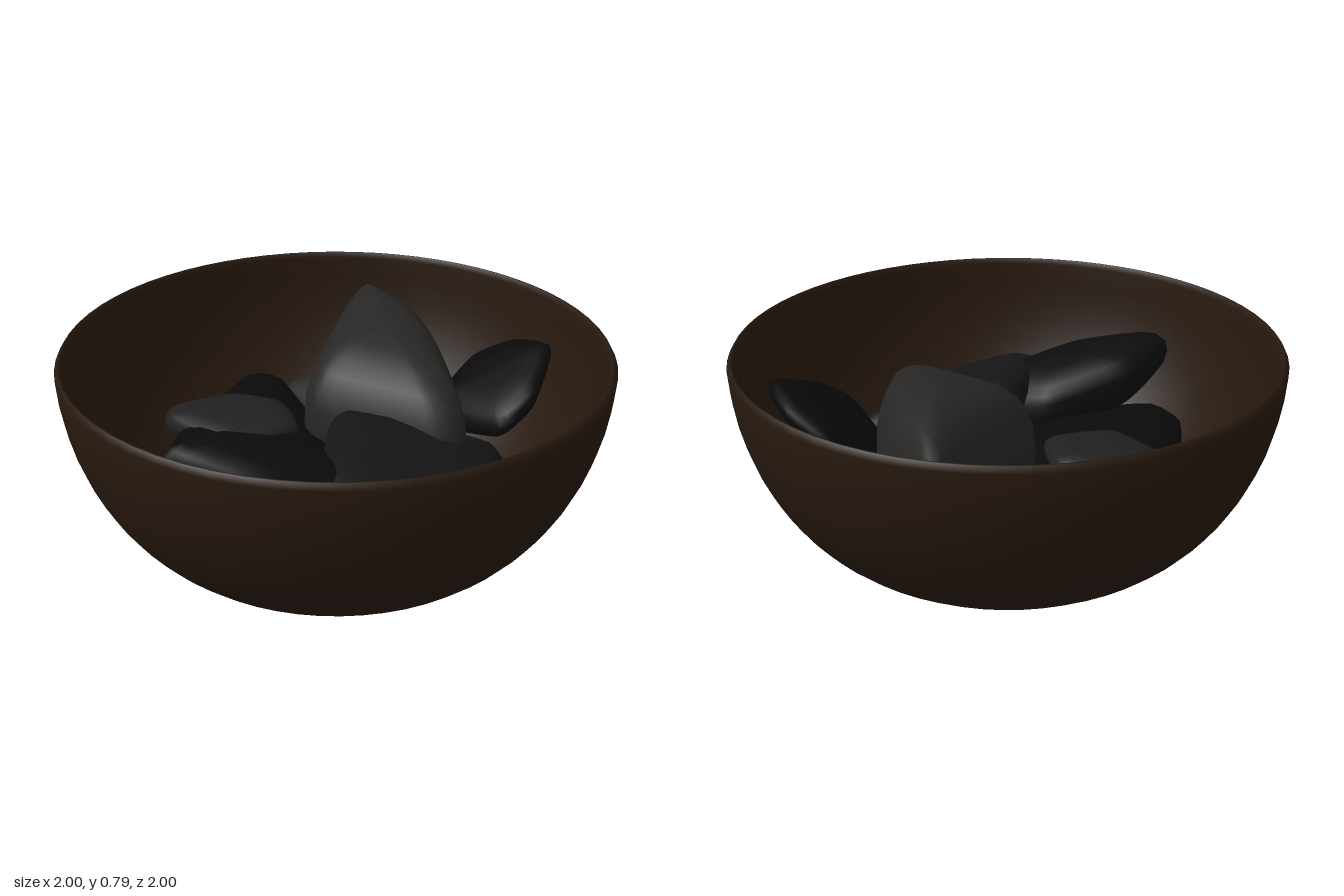
import * as THREE from 'three';

const paint = (color) => {
  const m = new THREE.MeshStandardMaterial();
  m.color.set(color);
  return m;
};

// Wall curve: flat floor of radius r0, then a quarter ellipse out to r1 and up to the rim
function wall(r0, r1, y0, y1) {
  const pts = [new THREE.Vector2(0, y0)];
  for (let i = 0; i <= 14; i++) {
    const a = (i / 14) * Math.PI / 2;
    pts.push(new THREE.Vector2(r0 + (r1 - r0) * Math.sin(a) ** 1.04, y1 - (y1 - y0) * Math.cos(a)));
  }
  return pts;
}

// Thick bowl: outer wall, bevelled rim, inner wall
function makeBowl() {
  const rim = [new THREE.Vector2(0.988, 0.79), new THREE.Vector2(0.98, 0.79)];
  const profile = [...wall(0.45, 1, 0, 0.77), ...rim, ...wall(0.44, 0.97, 0.03, 0.77).reverse()];
  const bowl = new THREE.Mesh(new THREE.LatheGeometry(profile, 64), paint(0x27190f));
  bowl.name = 'bowl';
  return bowl;
}

// Stone lofted from a plan outline (clockwise from above), tilted by slopes along x and z
function makeStone(name, color, y, slopeX, slopeZ, thick, outline) {
  const curve = new THREE.CatmullRomCurve3(
    outline.map(([x, z]) => new THREE.Vector3(x, 0, z)), true, 'catmullrom', 0.25);
  const n = 48, levels = 12;
  const ring = curve.getSpacedPoints(n).slice(0, n);
  const c = ring.reduce((s, p) => s.add(p), new THREE.Vector3()).divideScalar(n);
  const pos = [], index = [];
  for (let k = 0; k <= levels; k++) {
    // Flattened pebble cross-section from top to bottom
    const t = THREE.MathUtils.lerp(0.01, Math.PI - 0.01, k / levels);
    const s = Math.sin(t) ** 0.7;
    const h = 0.48 * thick * Math.sign(Math.cos(t)) * Math.abs(Math.cos(t)) ** 0.8;
    ring.forEach((p, i) => {
      const dx = (p.x - c.x) * s, dz = (p.z - c.z) * s;
      pos.push(c.x + dx, y + slopeX * dx + slopeZ * dz + h, c.z + dz);
      if (k === 0) return;
      const j = (i + 1) % n, a = (k - 1) * n, b = k * n;
      index.push(a + i, a + j, b + i, a + j, b + j, b + i);
    });
  }
  // Close both ends
  const last = levels * n;
  for (let i = 1; i < n - 1; i++) {
    index.push(0, i + 1, i, last, last + i, last + i + 1);
  }
  const geo = new THREE.BufferGeometry();
  geo.setAttribute('position', new THREE.Float32BufferAttribute(pos, 3));
  geo.setIndex(index);
  geo.computeVertexNormals();
  const stone = new THREE.Mesh(geo, paint(color));
  stone.name = name;
  return stone;
}

export function createModel() {
  const model = new THREE.Group();
  model.name = 'bowlOfStones';
  const stones = new THREE.Group();
  stones.name = 'stones';
  stones.add(
    makeStone('largeTopStone', 0x272625, 0.44, -0.02, -0.2, 0.62,
      [[-0.27, -0.8], [0.04, -0.66], [0.24, -0.47], [0.48, -0.13], [0.42, 0], [-0.1, 0], [-0.2, -0.13], [-0.28, -0.6]]),
    makeStone('backStone', 0x282828, 0.29, 0, -0.1, 0.24,
      [[-0.3, -0.6], [0.02, -0.73], [0.29, -0.62], [0.3, -0.25], [0, -0.12], [-0.46, -0.4]]),
    makeStone('backLeaningStone', 0x090909, 0.5, 0.45, -0.45, 0.16,
      [[0.3, -0.63], [0.47, -0.67], [0.64, -0.59], [0.66, -0.34], [0.57, -0.23], [0.22, -0.38]]),
    makeStone('sideSlab', 0x151515, 0.36, -0.35, 0, 0.28,
      [[0.55, -0.28], [0.71, 0.06], [0.54, 0.48], [0.33, 0.63], [0.18, 0.5], [0.05, 0.18], [0.05, 0.02]]),
    makeStone('darkSlab', 0x0a0a0a, 0.29, -0.05, 0.04, 0.26,
      [[-0.65, -0.44], [-0.5, -0.48], [0.02, 0], [0.06, 0.35], [-0.27, 0.65], [-0.45, 0.57], [-0.6, 0.2]]),
    makeStone('smallStone', 0x1f1f1f, 0.375, 0.04, -0.03, 0.15,
      [[-0.71, 0.07], [-0.53, -0.11], [-0.3, -0.13], [-0.15, 0.03], [-0.32, 0.25], [-0.66, 0.17]]),
    makeStone('frontStone', 0x0c0c0c, 0.44, -0.2, 0.25, 0.28,
      [[-0.02, 0.21], [0.33, 0.2], [0.41, 0.33], [0.12, 0.62], [-0.02, 0.69], [-0.28, 0.74], [-0.27, 0.46]]),
  );
  model.add(makeBowl(), stones);
  return model;
}
